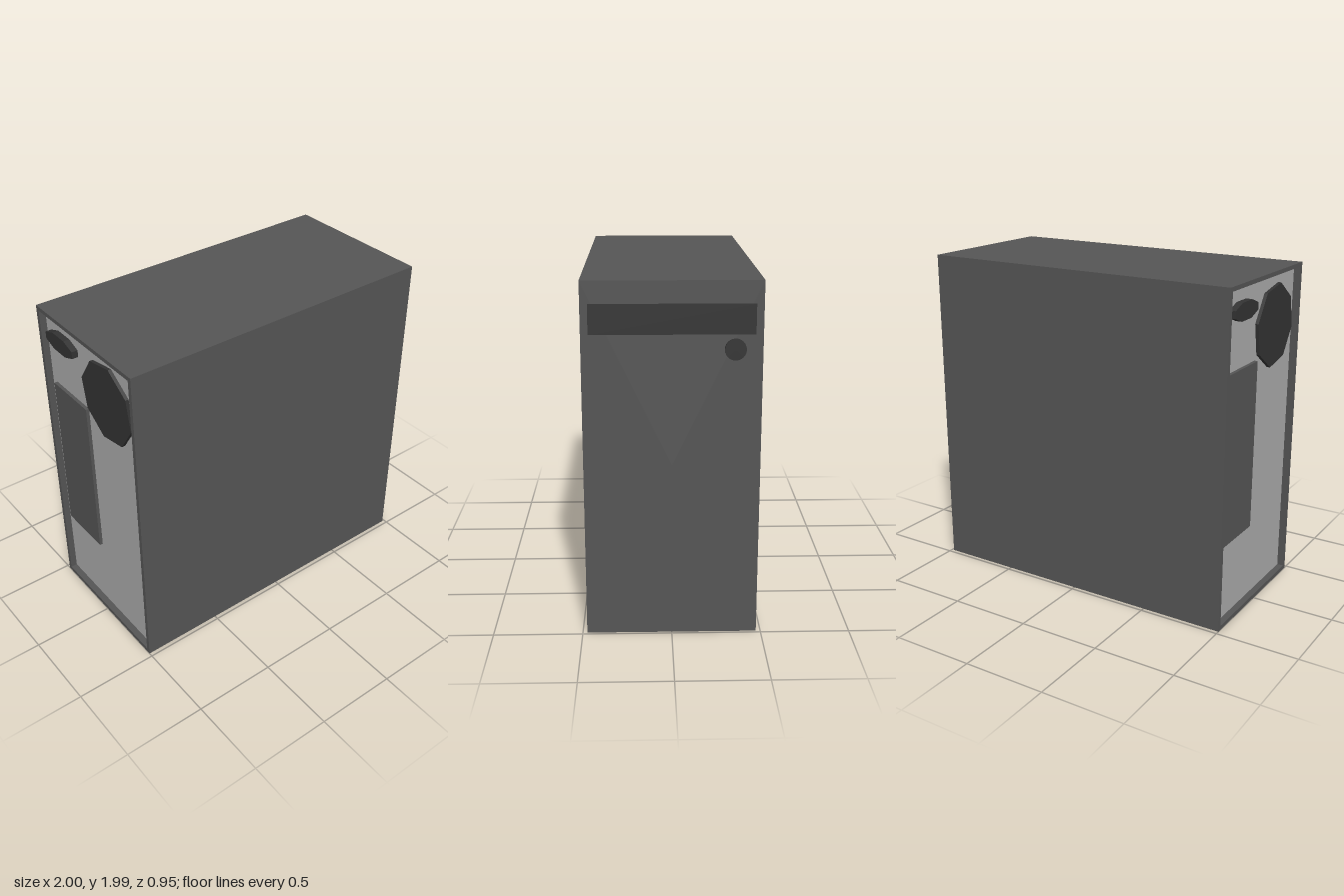
import * as THREE from 'three';

const mat = (color) => new THREE.MeshStandardMaterial({ color, flatShading: true });

export function createModel() {
  const model = new THREE.Group();
  const caseMat = mat(0x555555), darkMat = mat(0x333333), panelMat = mat(0xaaaaaa);

  const add = (name, geometry, material, x, y, z) => {
    const mesh = new THREE.Mesh(geometry, material);
    mesh.name = name;
    mesh.position.set(x, y, z);
    model.add(mesh);
    return mesh;
  };

  // Disc whose axis runs along x
  const disc = (radius, depth, sides, start = 0) =>
    new THREE.CylinderGeometry(radius, radius, depth, sides, 1, false, start).rotateZ(Math.PI / 2);

  // Case: rectangular rings [x, half height, half width], closed at +x and recessed at -x
  const rings = [[0.985, 0, 0], [0.985, 0.995, 0.475], [-1, 0.995, 0.475], [-1, 0.97, 0.45], [-0.95, 0.97, 0.45]];
  const corners = [[1, 1], [-1, 1], [-1, -1], [1, -1]];
  const point = ([x, h, w], i) => [x, h * corners[i % 4][0], w * corners[i % 4][1]];
  const positions = [];
  for (let r = 0; r < rings.length - 1; r++) {
    for (let i = 0; i < 4; i++) {
      const a = point(rings[r], i), b = point(rings[r + 1], i);
      const c = point(rings[r + 1], i + 1), d = point(rings[r], i + 1);
      positions.push(...a, ...b, ...c);
      if (r > 0) positions.push(...a, ...c, ...d);
    }
  }
  const shell = new THREE.BufferGeometry();
  shell.setAttribute('position', new THREE.Float32BufferAttribute(positions, 3));
  shell.computeVertexNormals();
  add('case', shell, caseMat, 0, 0.995, 0);

  // Drive bay and power button on the +x end
  add('driveBay', new THREE.BoxGeometry(0.02, 0.16, 0.87), darkMat, 0.983, 1.79, 0);
  add('powerButton', disc(0.057, 0.03, 24), darkMat, 0.985, 1.63, -0.33);

  // Recessed panel with its fittings on the -x end
  add('rearPanel', new THREE.BoxGeometry(0.02, 1.94, 0.9), panelMat, -0.95, 0.995, 0);
  add('portPlate', new THREE.BoxGeometry(0.03, 1.01, 0.35), caseMat, -0.965, 1, -0.23);
  const tilt = -Math.PI / 15;
  add('fan', disc(0.245, 0.03, 8, tilt), darkMat, -0.965, 1.666, 0.173);
  const socket = add('powerSocket', disc(0.153, 0.045, 8, Math.PI / 8), darkMat, -0.975, 1.833, -0.26);
  socket.scale.y = 0.36;

  return model;
}
